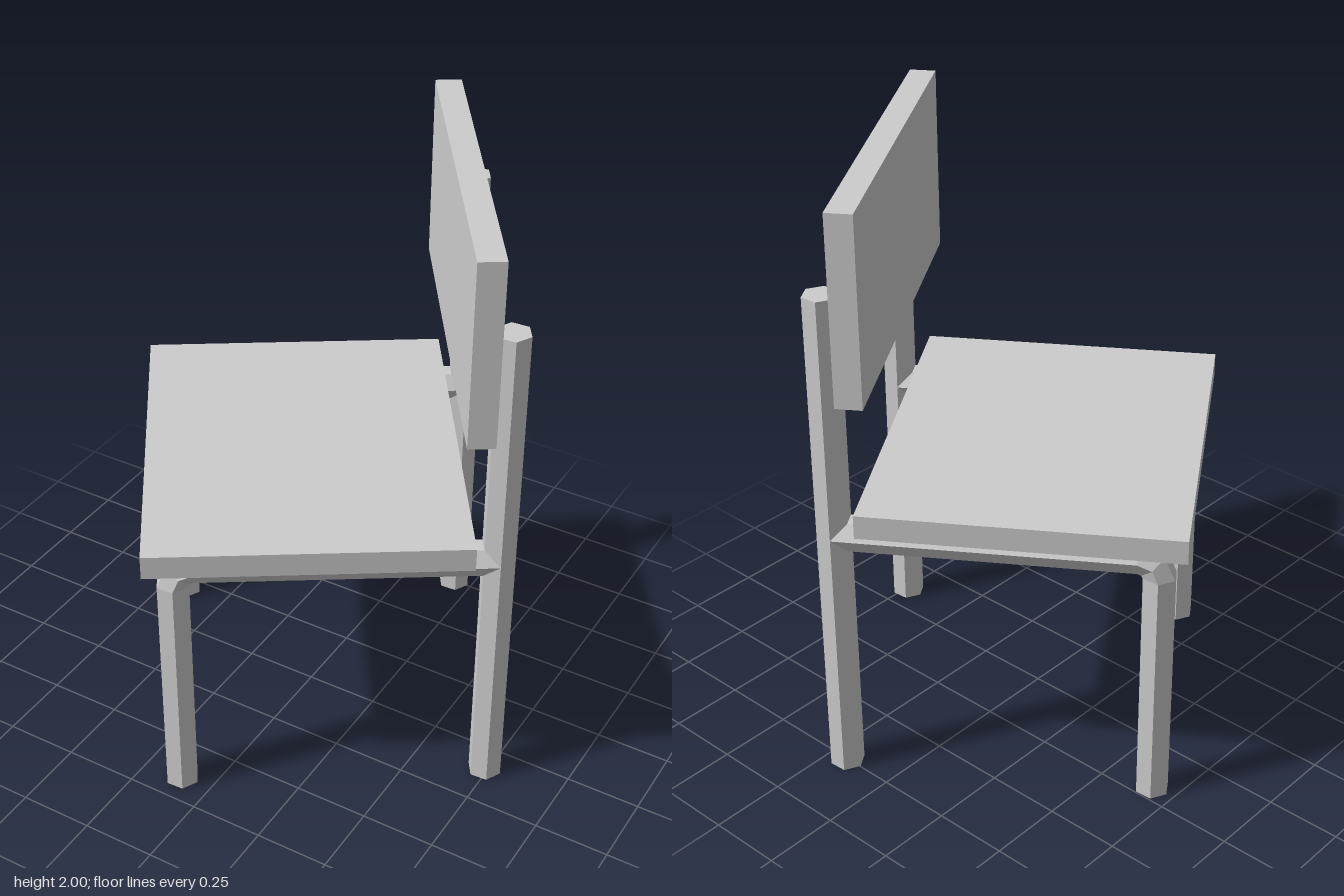
import * as THREE from 'three';

const R = 0.057; // hexagonal tube radius

// Hexagonal tube through stations [y, z, tilt]; tilt turns the run from up (0) to backwards (PI/2)
function hexTube(stations) {
  const pos = [], index = [], n = 6, last = (stations.length - 1) * n;
  for (const [y, z, tilt] of stations) {
    for (let k = 0; k < n; k++) {
      const a = (k / n) * Math.PI * 2, side = R * Math.sin(a);
      pos.push(R * Math.cos(a), y - side * Math.sin(tilt), z - side * Math.cos(tilt));
    }
  }
  for (let i = 0; i < last; i += n) {
    for (let k = 0; k < n; k++) {
      const j = (k + 1) % n;
      index.push(i + k, i + j, i + n + j, i + k, i + n + j, i + n + k);
    }
  }
  for (let k = 1; k < n - 1; k++) {
    index.push(0, k + 1, k, last, last + k, last + k + 1); // end caps
  }
  const g = new THREE.BufferGeometry();
  g.setAttribute('position', new THREE.Float32BufferAttribute(pos, 3));
  g.setIndex(index);
  const flat = g.toNonIndexed();
  flat.computeVertexNormals();
  return flat;
}

export function createModel() {
  const grey = new THREE.MeshStandardMaterial({ color: 0xcccccc, flatShading: true });
  grey.name = 'light grey';
  const chair = new THREE.Group();
  chair.name = 'chair';

  const add = (name, geometry, x, y, z) => {
    const mesh = new THREE.Mesh(geometry, grey);
    mesh.name = name;
    mesh.position.set(x, y, z);
    chair.add(mesh);
  };

  // Seat and backrest boards
  add('seat', new THREE.BoxGeometry(1.228, 0.08, 1.016), -0.01, 0.975, 0.032);
  add('backrest', new THREE.BoxGeometry(1.222, 0.62, 0.086), -0.01, 1.69, -0.472);

  // Front leg bends back into the rail under the seat and meets the rear post
  const bend = 0.065, railY = 0.893, frontZ = 0.45, backZ = -0.562;
  const stations = [[0, frontZ, 0]];
  for (let i = 0; i <= 2; i++) {
    const t = (i * Math.PI) / 4;
    stations.push([railY - bend + bend * Math.sin(t), frontZ - bend + bend * Math.cos(t), t]);
  }
  stations.push([railY, backZ, Math.PI / 2]);
  const legAndRail = hexTube(stations);
  const post = hexTube([[0, backZ, 0], [1.705, backZ, 0]]);

  for (const [side, x] of [['left', 0.485], ['right', -0.529]]) {
    add(side + 'FrontLegAndRail', legAndRail, x, 0, 0);
    add(side + 'RearPost', post, x, 0, 0);
  }

  // The chair stands turned on its vertical axis
  chair.rotation.y = -0.99;
  const model = new THREE.Group();
  model.name = 'turnedChair';
  model.add(chair);
  return model;
}
